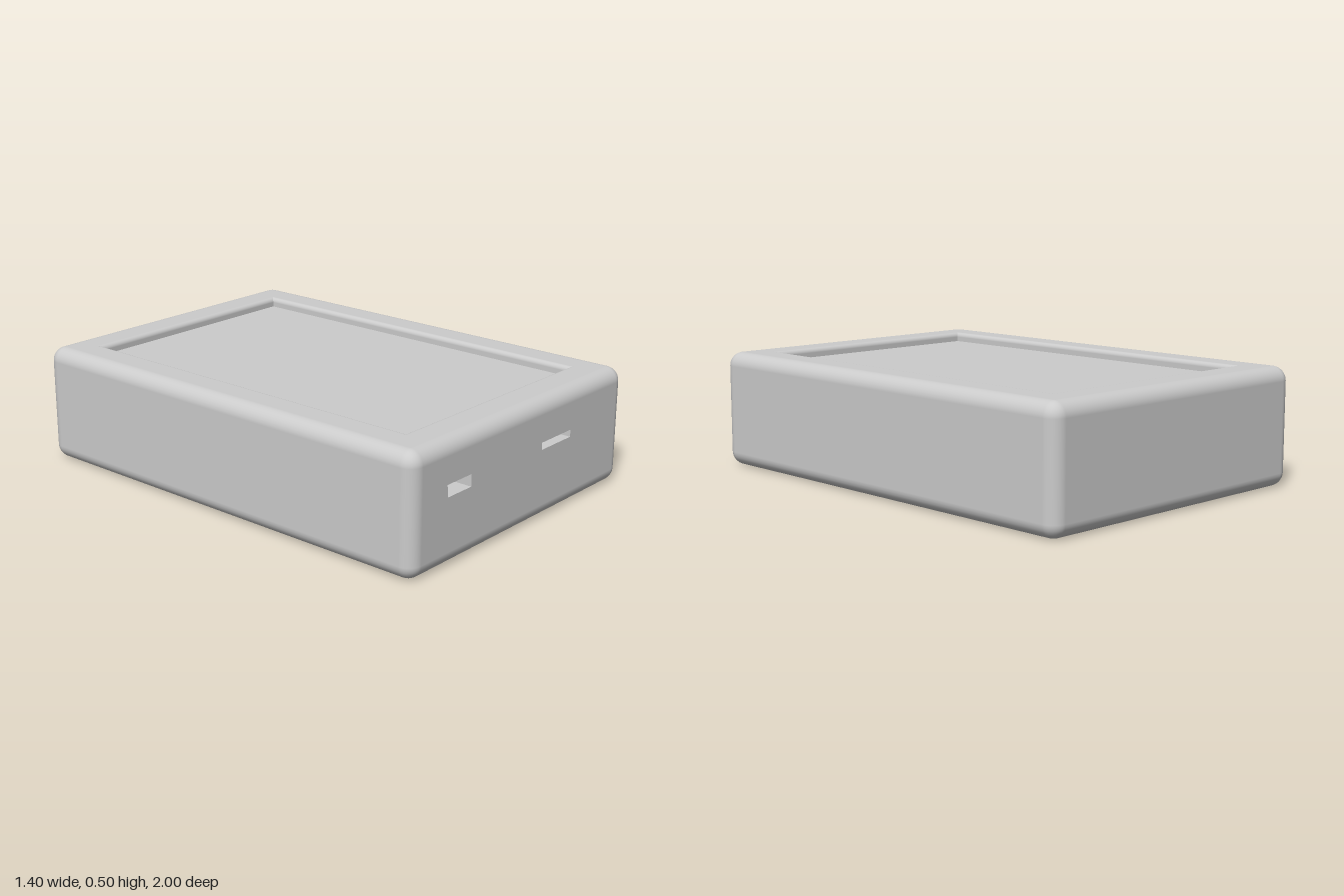
import * as THREE from 'three';

const W = 0.7, H = 0.5, D = 1, R = 0.06;          // half width, height, half depth, edge radius
const OPEN_X = 0.55, OPEN_Z = 0.85, LIP = 0.02;   // recess opening and its rounded lip
const FLOOR_Y = 0.46, SLOT_DEPTH = 0.2;
const N = 8;                                      // segments per rounded corner

const SLOTS = [
  ['wideSlot', [[-0.49, 0.28], [-0.35, 0.28], [-0.35, 0.33], [-0.495, 0.33]]],
  ['thinSlot', [[0.11, 0.295], [0.31, 0.295], [0.31, 0.325], [0.11, 0.325]]],
];

const toPoints = (pts) => pts.map(([x, y]) => new THREE.Vector2(x, y));

// Rounded-rectangle loops from the underside, up the sides, over the rim and into the recess.
// Each loop: inner half sizes, corner radius, height, tilt of the normal.
function bodyLoops() {
  const loops = [{ x: 0, z: 0, r: 0, y: 0, tilt: -Math.PI / 2 }];
  const rim = (t, cy) => loops.push({
    x: W - R, z: D - R, r: R * Math.cos(t), y: cy + R * Math.sin(t), tilt: t,
  });
  for (let i = 0; i <= N; i++) rim(-Math.PI / 2 + (i / N) * Math.PI / 2, R);
  const sideRow = loops.length - 1;
  for (let i = 0; i <= N; i++) rim((i / N) * Math.PI / 2, H - R);
  for (let i = 0; i <= N; i++) {
    const t = (i / N) * Math.PI / 2, s = LIP * Math.sin(t);
    loops.push({ x: OPEN_X - s, z: OPEN_Z - s, r: 0, y: H - LIP + LIP * Math.cos(t), tilt: Math.PI / 2 + t });
  }
  const x = OPEN_X - LIP, z = OPEN_Z - LIP;
  loops.push({ x, z, r: 0, y: FLOOR_Y, tilt: Math.PI });
  loops.push({ x, z, r: 0, y: FLOOR_Y, tilt: Math.PI / 2 });
  loops.push({ x: 0, z: 0, r: 0, y: FLOOR_Y, tilt: Math.PI / 2 });
  return { loops, sideRow };
}

function bodyGeometry() {
  const { loops, sideRow } = bodyLoops();
  const pos = [], nor = [], idx = [];
  const signs = [[1, 1], [-1, 1], [-1, -1], [1, -1]];
  const count = 4 * (N + 1);
  for (const l of loops) {
    signs.forEach(([sx, sz], k) => {
      for (let j = 0; j <= N; j++) {
        const a = (k + j / N) * Math.PI / 2, c = Math.cos(a), s = Math.sin(a);
        pos.push(sx * l.x + l.r * c, l.y, sz * l.z + l.r * s);
        nor.push(c * Math.cos(l.tilt), Math.sin(l.tilt), s * Math.cos(l.tilt));
      }
    });
  }
  for (let row = 0; row < loops.length - 1; row++) {
    for (let j = 0; j < count; j++) {
      if (row === sideRow && j === N) continue;   // flat front is a separate panel
      const a = row * count + j, b = row * count + (j + 1) % count;
      idx.push(b, a, a + count, b, a + count, b + count);
    }
  }
  const g = new THREE.BufferGeometry();
  g.setAttribute('position', new THREE.Float32BufferAttribute(pos, 3));
  g.setAttribute('normal', new THREE.Float32BufferAttribute(nor, 3));
  g.setIndex(idx);
  return g;
}

// Flat front with the slot openings cut out
function frontGeometry() {
  const x = W - R;
  const shape = new THREE.Shape(toPoints([[-x, R], [x, R], [x, H - R], [-x, H - R]]));
  for (const [, pts] of SLOTS) shape.holes.push(new THREE.Path(toPoints(pts)));
  return new THREE.ShapeGeometry(shape).translate(0, 0, D);
}

// Inward-facing walls of a slot
function slotWalls(pts) {
  const pos = [], back = D - SLOT_DEPTH;
  pts.forEach(([ax, ay], i) => {
    const [bx, by] = pts[(i + 1) % pts.length];
    pos.push(ax, ay, D, bx, by, D, bx, by, back, ax, ay, D, bx, by, back, ax, ay, back);
  });
  const g = new THREE.BufferGeometry();
  g.setAttribute('position', new THREE.Float32BufferAttribute(pos, 3));
  g.computeVertexNormals();
  return g;
}

export function createModel() {
  const group = new THREE.Group();
  group.name = 'recessedCase';
  const material = new THREE.MeshStandardMaterial({ color: 0xcccccc });
  const add = (name, geometry) => {
    const mesh = new THREE.Mesh(geometry, material);
    mesh.name = name;
    group.add(mesh);
  };
  add('body', bodyGeometry());
  add('frontPanel', frontGeometry());
  for (const [name, pts] of SLOTS) {
    add(name + 'Walls', slotWalls(pts));
    add(name + 'Back', new THREE.ShapeGeometry(new THREE.Shape(toPoints(pts))).translate(0, 0, D - SLOT_DEPTH));
  }
  return group;
}
